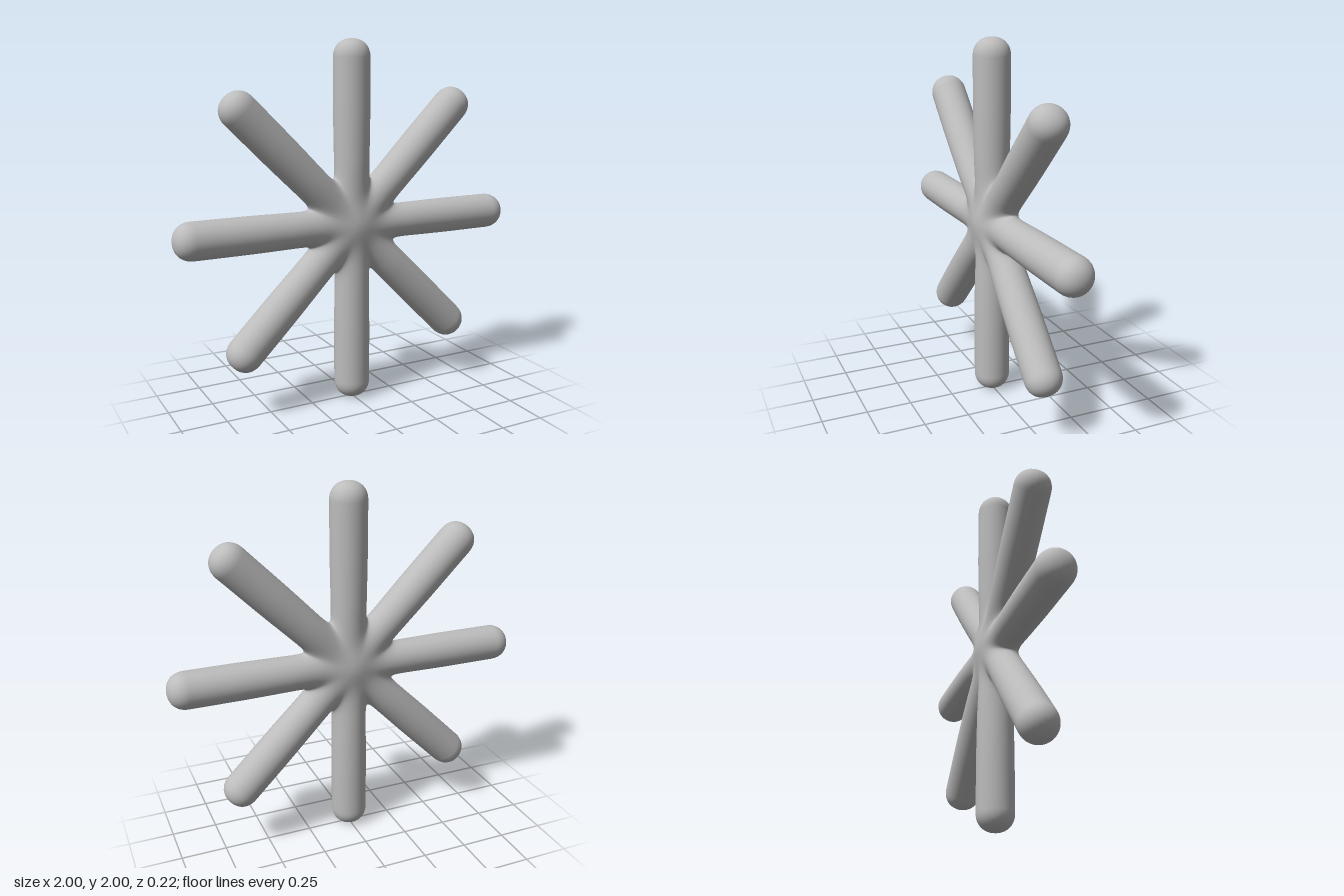
import * as THREE from 'three';
import { mergeGeometries, mergeVertices } from 'three/addons/utils/BufferGeometryUtils.js';

const ARMS = 8, SIDES = 24, BLEND = 0.018;
const WEDGE = Math.tan(Math.PI / ARMS);

// Blended distance to four crossing round-ended bars
function field(x, y, z) {
  let sum = 0;
  for (let i = 0; i < ARMS / 2; i++) {
    const a = (i * 2 * Math.PI) / ARMS;
    const along = Math.abs(x * Math.cos(a) + y * Math.sin(a));
    const across = Math.hypot(y * Math.cos(a) - x * Math.sin(a), z);
    const cap = Math.max(0, along - 0.9);
    const radius = 0.095 + 0.005 * THREE.MathUtils.smoothstep(along, 0.2, 0.65);
    const d = Math.pow(across ** 2.2 + cap ** 2.2, 1 / 2.2) - radius;
    sum += Math.exp(-d / BLEND);
  }
  return -BLEND * Math.log(sum);
}

// Largest t in 0..max that is still inside the solid
function edge(f, max) {
  if (f(max) <= 0) return max;
  let lo = 0, hi = max;
  for (let i = 0; i < 30; i++) {
    const mid = (lo + hi) / 2;
    if (f(mid) <= 0) lo = mid; else hi = mid;
  }
  return lo;
}

// One arm with its wedge of the hub, as front and back strips of cross-sections
function armGeometry() {
  const valley = edge((s) => field(s, s * WEDGE, 0), 0.6);
  const stations = [];
  for (let i = 0; i < 14; i++) stations.push(valley * (1 - (1 - i / 14) ** 2));
  for (let i = 0; i < 26; i++) stations.push(valley + (0.9 - valley) * (i / 26) ** 2.2);
  for (let i = 0; i <= 10; i++) stations.push(0.9 + 0.1 * Math.sin((i / 10) * Math.PI / 2));

  const positions = [], index = [], row = SIDES + 1;
  for (const side of [1, -1]) {
    const base = positions.length / 3;
    stations.forEach((s) => {
      const halfWidth = edge((u) => field(s, u, 0), Math.min(s * WEDGE, 0.2));
      for (let j = 0; j <= SIDES; j++) {
        const u = halfWidth * Math.cos((j / SIDES) * Math.PI);
        const z = edge((t) => field(s, u, t), 0.2);
        // The hub is slightly flattened
        const flat = 0.9 + 0.1 * THREE.MathUtils.smoothstep(Math.hypot(s, u), 0.05, 0.38);
        positions.push(s, u, side * z * flat);
      }
    });
    for (let i = 0; i < stations.length - 1; i++) {
      for (let j = 0; j < SIDES; j++) {
        const a = base + i * row + j, b = a + row, c = a + 1, d = b + 1;
        if (side > 0) index.push(a, c, b, b, c, d);
        else index.push(a, b, c, b, d, c);
      }
    }
  }
  const geometry = new THREE.BufferGeometry();
  geometry.setAttribute('position', new THREE.Float32BufferAttribute(positions, 3));
  geometry.setIndex(index);
  return geometry;
}

export function createModel() {
  const grey = new THREE.MeshStandardMaterial({ color: 0xbcbcbc });
  grey.name = 'grey';

  // Eight arms welded into one smooth skin
  const arm = armGeometry();
  const arms = [];
  for (let i = 0; i < ARMS; i++) arms.push(arm.clone().rotateZ((i * 2 * Math.PI) / ARMS));
  const skin = mergeVertices(mergeGeometries(arms), 1e-4);
  skin.computeVertexNormals();

  const star = new THREE.Mesh(skin, grey);
  star.name = 'eightArmedStar';
  star.position.y = 1;

  const group = new THREE.Group();
  group.name = 'asterisk';
  group.add(star);
  return group;
}
